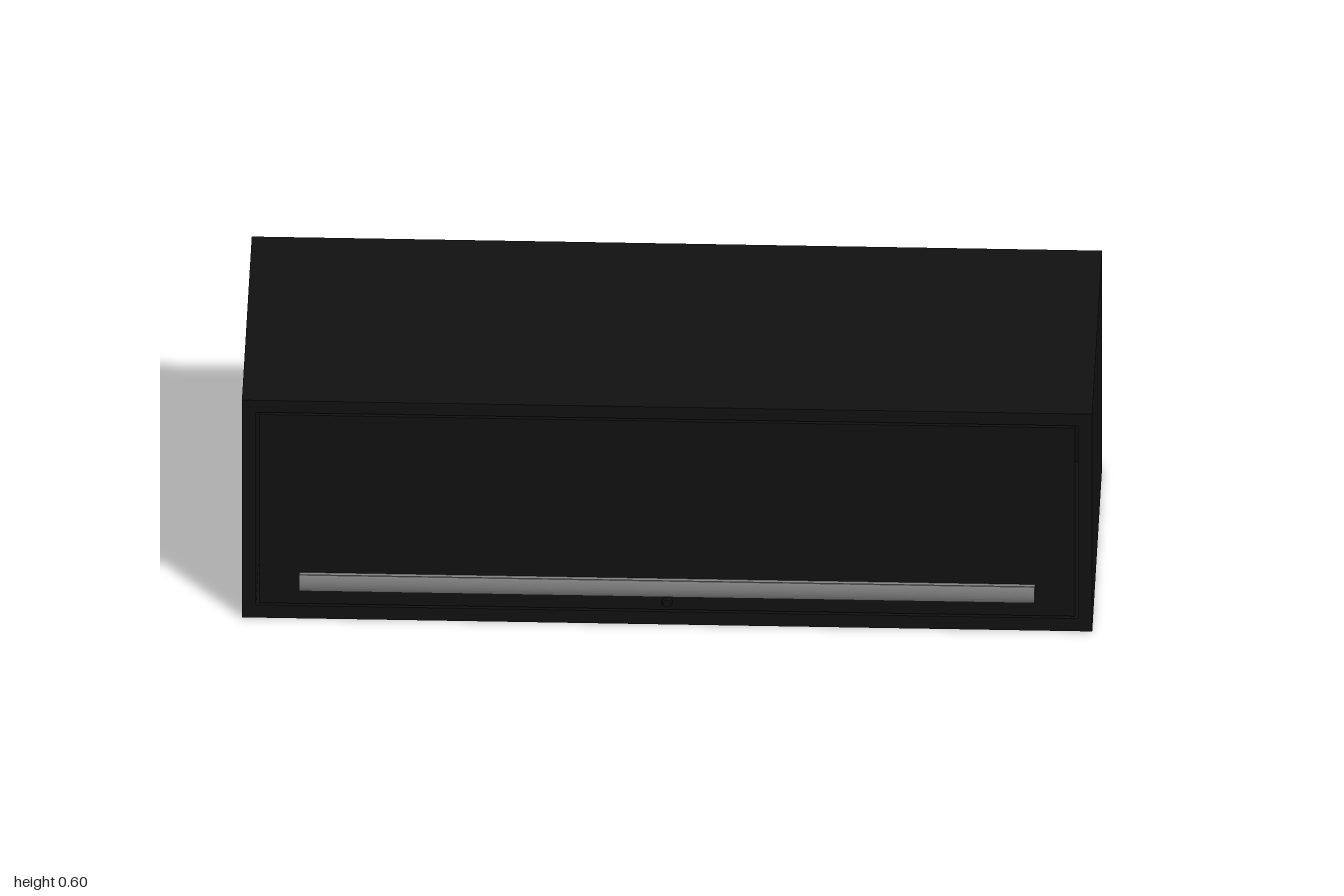
import * as THREE from 'three';

const BACK = -0.385, FRONT = 0.348, HEIGHT = 0.6;

function rectPoints(x0, y0, x1, y1) {
  return [[x0, y0], [x1, y0], [x1, y1], [x0, y1]].map(([x, y]) => new THREE.Vector2(x, y));
}

export function createModel() {
  const model = new THREE.Group();
  const black = new THREE.MeshStandardMaterial({ color: 0x111111 });
  const grey = new THREE.MeshStandardMaterial({ color: 0x808080 });

  const add = (name, geometry, material, x = 0, y = 0, z = 0) => {
    const mesh = new THREE.Mesh(geometry, material);
    mesh.name = name;
    mesh.position.set(x, y, z);
    model.add(mesh);
    return mesh;
  };

  // Cabinet shell: a rectangular tube, open at the front
  const shell = new THREE.Shape(rectPoints(-1, 0, 1, HEIGHT));
  shell.holes.push(new THREE.Path(rectPoints(-0.967, 0.035, 0.967, 0.567)));
  const backThickness = 0.03;
  add('cabinetShell', new THREE.ExtrudeGeometry(shell, {
    depth: FRONT - BACK - backThickness, bevelEnabled: false,
  }), black, 0, 0, BACK + backThickness);
  add('backPanel', new THREE.BoxGeometry(2, HEIGHT, backThickness), black,
    0, HEIGHT / 2, BACK + backThickness / 2);

  // Flap door, flush with the shell and set off by a narrow gap
  const doorThickness = 0.035;
  add('door', new THREE.BoxGeometry(1.92, 0.52, doorThickness), black,
    0, 0.301, FRONT - doorThickness / 2);

  // Handle rail: curved grip, thin web and flared foot, drawn as (z, y)
  const mid = 0.117, length = 1.73;
  const profile = new THREE.Shape();
  profile.moveTo(FRONT, mid - 0.01);
  profile.quadraticCurveTo(0.352, mid - 0.004, 0.358, mid - 0.004);
  profile.lineTo(0.372, mid - 0.004);
  profile.quadraticCurveTo(0.379, mid - 0.005, 0.379, mid - 0.011);
  profile.lineTo(0.376, mid - 0.022);
  profile.lineTo(0.380, mid - 0.022);
  profile.quadraticCurveTo(0.390, mid, 0.380, mid + 0.022);
  profile.lineTo(0.376, mid + 0.022);
  profile.lineTo(0.379, mid + 0.011);
  profile.quadraticCurveTo(0.379, mid + 0.005, 0.372, mid + 0.004);
  profile.lineTo(0.358, mid + 0.004);
  profile.quadraticCurveTo(0.352, mid + 0.004, FRONT, mid + 0.01);
  profile.closePath();
  const rail = new THREE.ExtrudeGeometry(profile, { depth: length, bevelEnabled: false, curveSegments: 8 });
  rail.rotateY(-Math.PI / 2);
  add('handleRail', rail, grey, length / 2);

  // Small round lock below the handle
  const lock = new THREE.CylinderGeometry(0.01, 0.013, 0.008, 24);
  lock.rotateX(Math.PI / 2);
  add('lock', lock, black, 0, 0.062, FRONT + 0.004);

  return model;
}
